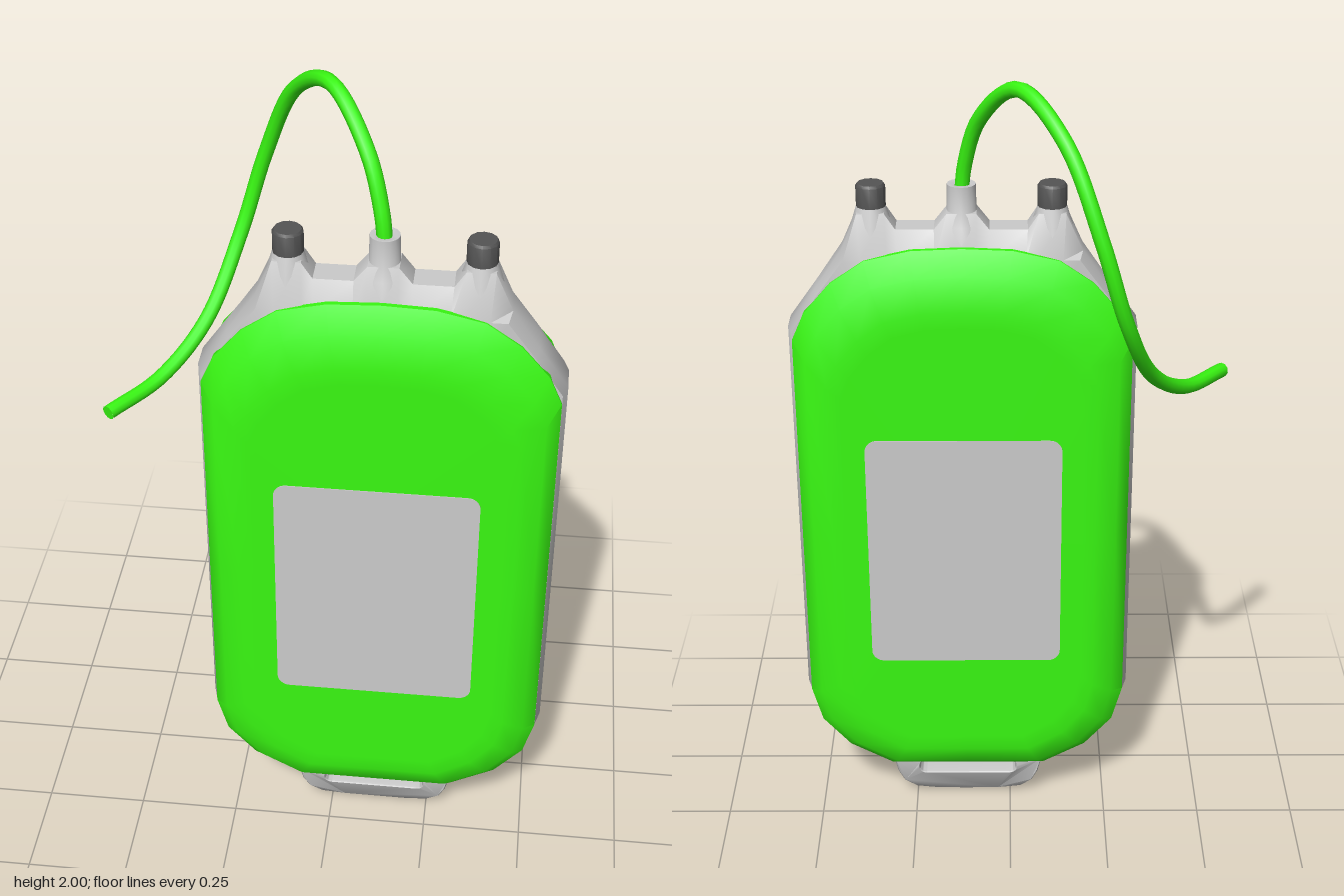
import * as THREE from 'three';
import { toCreasedNormals } from 'three/addons/utils/BufferGeometryUtils.js';

const CX = 0.113, CZ = 0.132;
const mat = (color, side = THREE.FrontSide) => new THREE.MeshStandardMaterial({ color, side });

// Mirror the right half of an outline (bottom to top) into a closed counterclockwise loop
function mirrorLoop(half) {
  const left = half.filter(p => p[0] > 0).map(([x, y]) => [-x, y]).reverse();
  return [...half, ...left];
}

// Join equal-length rings of [x, y, z] and close both ends as asked
function loft(rings, capStart, capEnd, crease) {
  const n = rings[0].length, pos = rings.flat(2), idx = [];
  for (let r = 0; r < rings.length - 1; r++) {
    for (let i = 0; i < n; i++) {
      const j = (i + 1) % n, a = r * n + i, b = r * n + j;
      idx.push(a, b, b + n, a, b + n, a + n);
    }
  }
  const cap = (r, flip) => {
    const c = pos.length / 3;
    pos.push(0, 0.85, rings[r][0][2]);
    for (let i = 0; i < n; i++) {
      const a = r * n + i, b = r * n + (i + 1) % n;
      idx.push(...(flip ? [b, a, c] : [a, b, c]));
    }
  };
  if (capStart) cap(0, true);
  if (capEnd) cap(rings.length - 1, false);
  const g = new THREE.BufferGeometry();
  g.setAttribute('position', new THREE.Float32BufferAttribute(pos, 3));
  g.setIndex(idx);
  return toCreasedNormals(g, crease);
}

function roundedRect(path, x, y, w, h, r) {
  path.moveTo(x + r, y);
  path.lineTo(x + w - r, y);
  path.absarc(x + w - r, y + r, r, -Math.PI / 2, 0);
  path.lineTo(x + w, y + h - r);
  path.absarc(x + w - r, y + h - r, r, 0, Math.PI / 2);
  path.lineTo(x + r, y + h);
  path.absarc(x + r, y + h - r, r, Math.PI / 2, Math.PI);
  path.lineTo(x, y + r);
  path.absarc(x + r, y + r, r, Math.PI, Math.PI * 1.5);
  return path;
}

export function createModel() {
  const model = new THREE.Group();
  const body = new THREE.Group();
  body.name = 'body';
  body.position.set(CX, 0, CZ);
  model.add(body);
  const grey = mat(0xcccccc), green = mat(0x39f812), dark = mat(0x555555);
  const add = (name, geo, material, parent = body) => {
    const m = new THREE.Mesh(geo, material);
    m.name = name;
    parent.add(m);
    return m;
  };

  // Grey core whose top edge rises to the three necks along its middle
  const core = mirrorLoop([[0, 0.13], [0.2, 0.13], [0.31, 0.19], [0.39, 0.27], [0.418, 0.36],
    [0.418, 0.85], [0.418, 1.37], [0.35, 1.465], [0.285, 1.56], [0.245, 1.65], [0.18, 1.65],
    [0.155, 1.612], [0.065, 1.612], [0.035, 1.65], [0, 1.65]]);
  const coreRing = (z, sx, top) => core.map(([x, y]) => [x * sx, Math.min(y, top), z]);
  add('core', loft([coreRing(-0.072, 0.972, 1.55), coreRing(-0.033, 1, 1.66),
    coreRing(0.033, 1, 1.66), coreRing(0.072, 0.972, 1.55)], true, true, 0.9), grey);

  // Green shells, front and back
  const shell = mirrorLoop([[0, 0.125], [0.2, 0.125], [0.31, 0.185], [0.38, 0.265], [0.406, 0.36],
    [0.406, 0.85], [0.406, 1.35], [0.375, 1.42], [0.31, 1.495], [0.23, 1.55], [0.12, 1.575], [0, 1.58]]);
  const shellRing = (z, sx, lo, hi) =>
    shell.map(([x, y]) => [x * sx, lo + (y - 0.125) / 1.455 * (hi - lo), z]);
  const shellGeo = loft([shellRing(0.064, 1, 0.125, 1.58), shellRing(0.076, 1, 0.125, 1.58),
    shellRing(0.106, 0.925, 0.15, 1.52), shellRing(0.122, 0.8, 0.2, 1.44),
    shellRing(0.1225, 0.72, 0.24, 1.4)], false, true, 0.8);

  // Rounded rectangular panel for each face
  const panelGeo = new THREE.ExtrudeGeometry(
    roundedRect(new THREE.Shape(), -0.24, 0.478, 0.48, 0.628, 0.03),
    { depth: 0.004, bevelEnabled: false, curveSegments: 6 });
  panelGeo.translate(0, 0, 0.1205);
  [['front', 0], ['back', Math.PI]].forEach(([side, turn]) => {
    add(side + 'Shell', shellGeo, green).rotation.y = turn;
    add(side + 'Panel', panelGeo, grey).rotation.y = turn;
  });

  // Bottom hanging loop with a slot, thinning towards its lower edge
  const tongue = mirrorLoop([[0, 0.004], [0.08, 0.006], [0.14, 0.02], [0.172, 0.05], [0.188, 0.09],
    [0.197, 0.13], [0.24, 0.17], [0, 0.17]]);
  const loopShape = new THREE.Shape(tongue.map(([x, y]) => new THREE.Vector2(x, y)));
  loopShape.holes.push(roundedRect(new THREE.Path(), -0.127, 0.086, 0.254, 0.042, 0.018));
  const loopGeo = new THREE.ExtrudeGeometry(loopShape,
    { depth: 0.13, bevelEnabled: true, bevelThickness: 0.01, bevelSize: 0.004, bevelOffset: -0.004,
      bevelSegments: 2, curveSegments: 5 });
  loopGeo.translate(0, 0, -0.065);
  const p = loopGeo.attributes.position;
  for (let i = 0; i < p.count; i++) {
    const t = THREE.MathUtils.clamp(p.getY(i) / 0.11, 0, 1);
    p.setZ(i, p.getZ(i) * (0.25 + 0.75 * Math.sqrt(t)));
  }
  add('hangingLoop', toCreasedNormals(loopGeo, 0.7), grey);

  // Necks on the top edge, the outer two with dark caps
  const lathe = (points, sides) => toCreasedNormals(new THREE.LatheGeometry(
    points.map(([r, y]) => new THREE.Vector2(r, y)), sides), 0.7);
  const neckGeo = lathe([[0.07, 1.53], [0.048, 1.62], [0.032, 1.67], [0, 1.67]], 12);
  const capGeo = lathe([[0, 1.658], [0.035, 1.658], [0.035, 1.71], [0.031, 1.716], [0, 1.716]], 12);
  for (const s of [-1, 1]) {
    const side = s > 0 ? 'left' : 'right';
    add(side + 'Neck', neckGeo, grey).position.x = s * 0.212;
    add(side + 'Cap', capGeo, dark).position.x = s * 0.212;
  }
  add('cableNeck', lathe([[0.068, 1.55], [0.05, 1.62], [0.035, 1.65], [0.034, 1.714],
    [0.022, 1.714], [0, 1.7]], 16), grey);

  // Cable arching over the back and round to the right
  const path = new THREE.CatmullRomCurve3([[0.113, 1.69, 0.132], [0.105, 1.76, 0.125],
    [0.07, 1.88, 0.085], [-0.02, 1.982, -0.03], [-0.12, 1.9, -0.165], [-0.2, 1.7, -0.233],
    [-0.26, 1.5, -0.21], [-0.33, 1.325, -0.09], [-0.42, 1.238, 0.035], [-0.522, 1.22, 0.172],
  ].map(v => new THREE.Vector3(...v)));
  const cable = new THREE.Group();
  cable.name = 'cable';
  model.add(cable);
  add('cord', new THREE.TubeGeometry(path, 60, 0.018, 10), green, cable);
  const end = add('cordEnd', new THREE.CircleGeometry(0.018, 10), green, cable);
  end.position.copy(path.getPoint(1));
  end.lookAt(path.getPoint(1).add(path.getTangent(1)));

  return model;
}
